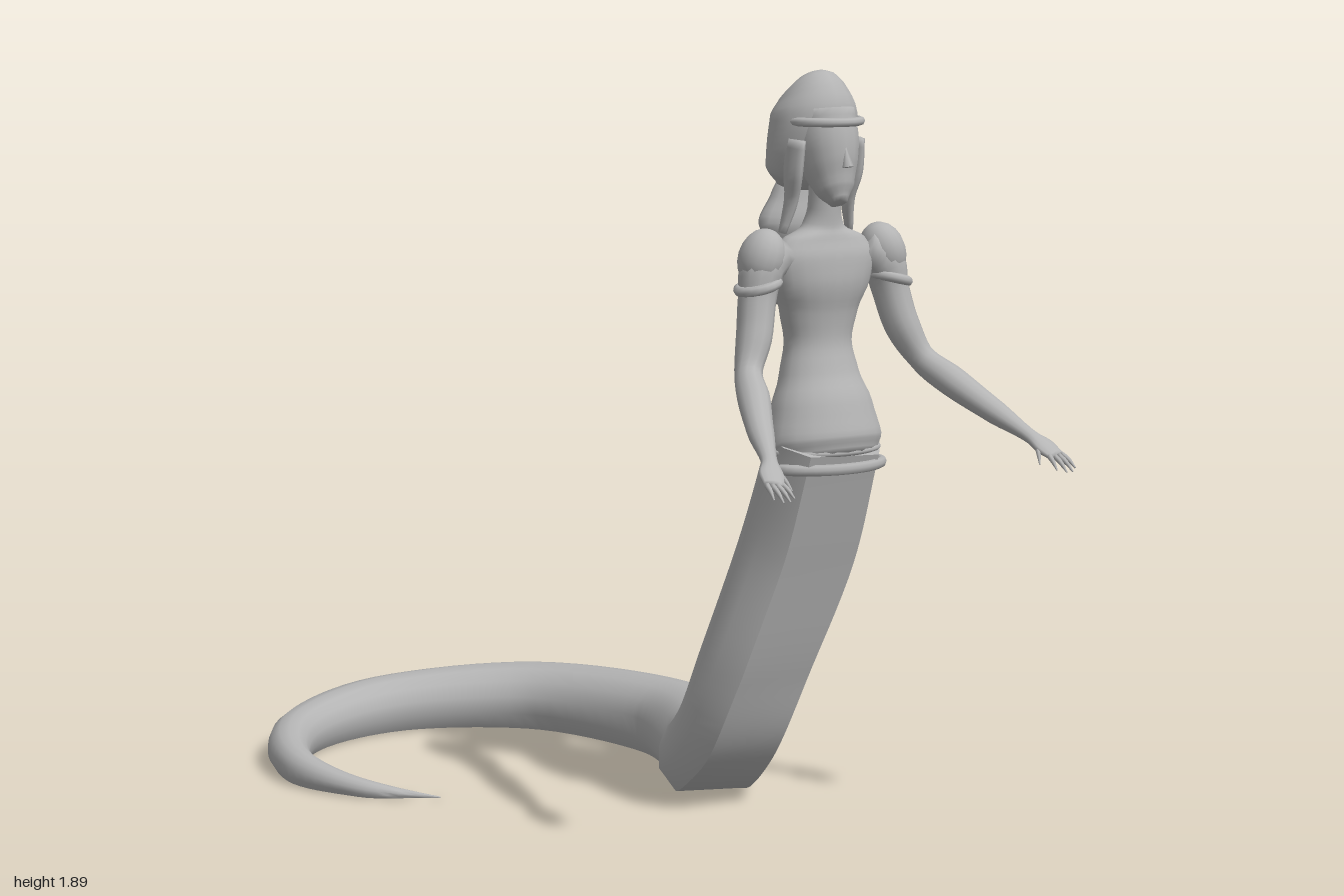
import * as THREE from 'three';
import { toCreasedNormals } from 'three/addons/utils/BufferGeometryUtils.js';

const CX = 0.258; // the upper body's own centre line

const oval = (n) => Array.from({ length: n }, (_, i) => {
  const a = (i / n) * Math.PI * 2;
  return [Math.cos(a), Math.sin(a)];
});

// Flat belly below, rounded back above
const tailProfile = [
  [-0.7, -1], [0, -1], [0.7, -1], [1, -0.45], [0.98, 0.1], [0.8, 0.58], [0.45, 0.9],
  [0, 1], [-0.45, 0.9], [-0.8, 0.58], [-0.98, 0.1], [-1, -0.45],
];

// Sweeps a profile along rows of [x, y, z, half width, half depth, yaw in degrees]
function loft(rows, profile, steps, crease = 0) {
  const path = new THREE.CatmullRomCurve3(rows.map((r) => new THREE.Vector3(r[0], r[1], r[2])));
  const size = new THREE.CatmullRomCurve3(rows.map((r) => new THREE.Vector3(r[3], r[4], r[5] || 0)), false, 'catmullrom', 0.3);
  const n = profile.length, pos = [], idx = [];
  for (let j = 0; j <= steps; j++) {
    const t = j / steps;
    const c = path.getPoint(t), T = path.getTangent(t), s = size.getPoint(t);
    const yaw = THREE.MathUtils.degToRad(s.z);
    const S = new THREE.Vector3(Math.cos(yaw), 0, Math.sin(yaw));
    S.addScaledVector(T, -S.dot(T)).normalize();
    const N = new THREE.Vector3().crossVectors(S, T);
    for (const [u, v] of profile) {
      const p = c.clone().addScaledVector(S, u * s.x).addScaledVector(N, v * s.y);
      pos.push(p.x, p.y, p.z);
    }
  }
  for (let j = 0; j < steps; j++) {
    for (let i = 0; i < n; i++) {
      const a = j * n + i, b = j * n + ((i + 1) % n);
      idx.push(a, a + n, b, b, a + n, b + n);
    }
  }
  const last = steps * n;
  for (let i = 1; i < n - 1; i++) idx.push(0, i, i + 1, last, last + i + 1, last + i);
  const g = new THREE.BufferGeometry();
  g.setAttribute('position', new THREE.Float32BufferAttribute(pos, 3));
  g.setIndex(idx);
  g.computeVertexNormals();
  return crease ? toCreasedNormals(g, crease) : g;
}

export function createModel() {
  const model = new THREE.Group();
  const clay = new THREE.MeshStandardMaterial({ color: 0xb4b4b4 });
  clay.name = 'clay grey';

  const add = (name, geometry, parent = model) => {
    const m = new THREE.Mesh(geometry, clay);
    m.name = name;
    parent.add(m);
    return m;
  };
  const ball = (name, parent, p, s, w = 16, h = 10) => {
    const m = add(name, new THREE.SphereGeometry(1, w, h), parent);
    m.position.set(...p);
    m.scale.set(...s);
    return m;
  };
  const ring = (name, parent, p, rx, rz, tube, squash = 1) => {
    const g = new THREE.TorusGeometry(1, tube / rx, 8, 32).rotateX(Math.PI / 2);
    const m = add(name, g, parent);
    m.position.set(...p);
    m.scale.set(rx, rx * squash, rz);
    return m;
  };

  // Serpent body: upright column bending into a curled tail
  add('serpentTail', loft([
    [0.255, 0.98, 0.548, 0.148, 0.105, 0],
    [0.24, 0.7, 0.455, 0.155, 0.112, 0],
    [0.175, 0.4, 0.365, 0.148, 0.108, 0],
    [0.155, 0.22, 0.285, 0.14, 0.108, 6],
    [0.18, 0.125, 0.17, 0.135, 0.108, 20],
    [0.26, 0.107, 0.03, 0.127, 0.104, 26],
    [0.35, 0.098, -0.3, 0.122, 0.095, 0],
    [0.185, 0.09, -0.75, 0.106, 0.087, -45],
    [-0.21, 0.077, -0.915, 0.085, 0.073, -90],
    [-0.53, 0.06, -0.79, 0.066, 0.058, -132],
    [-0.665, 0.044, -0.52, 0.046, 0.042, -180],
    [-0.6, 0.024, -0.29, 0.028, 0.022, -218],
    [-0.445, 0.006, -0.15, 0.002, 0.002, -240],
  ], tailProfile, 96, 0.75));

  const body = new THREE.Group();
  body.name = 'upperBody';
  body.position.x = CX;
  model.add(body);

  // Torso with hips, waist, chest, shoulders and neck
  add('torso', loft([
    [0, 0.935, 0.56, 0.142, 0.1],
    [0, 0.98, 0.55, 0.158, 0.117],
    [0, 1.06, 0.54, 0.138, 0.105],
    [0, 1.14, 0.528, 0.108, 0.082],
    [0, 1.22, 0.522, 0.092, 0.068],
    [0, 1.3, 0.525, 0.11, 0.07],
    [0, 1.37, 0.535, 0.138, 0.074],
    [0, 1.43, 0.54, 0.148, 0.066],
    [0, 1.475, 0.54, 0.12, 0.052],
    [0, 1.505, 0.54, 0.058, 0.044],
    [0, 1.55, 0.545, 0.042, 0.04],
    [0, 1.64, 0.55, 0.04, 0.04],
  ], oval(20), 44), body);
  ring('belt', body, [0, 0.917, 0.572], 0.15, 0.088, 0.014);
  ring('hipSash', body, [0, 0.955, 0.545], 0.148, 0.105, 0.012, 0.7);

  // Head
  const head = new THREE.Group();
  head.name = 'head';
  body.add(head);
  add('face', loft([
    [0, 1.565, 0.607, 0.022, 0.022],
    [0, 1.6, 0.588, 0.05, 0.05],
    [0, 1.66, 0.565, 0.07, 0.074],
    [0, 1.72, 0.555, 0.078, 0.078],
    [0, 1.79, 0.545, 0.072, 0.072],
  ], oval(16), 16), head);
  const nose = add('nose', new THREE.ConeGeometry(0.014, 0.055, 6), head);
  nose.position.set(0, 1.682, 0.638);
  nose.rotation.x = -0.2;
  add('hairCap', loft([
    [0, 1.605, 0.45, 0.075, 0.045],
    [0, 1.64, 0.463, 0.11, 0.07],
    [0, 1.71, 0.487, 0.115, 0.098],
    [0, 1.78, 0.497, 0.108, 0.108],
    [0, 1.83, 0.485, 0.078, 0.09],
    [0, 1.857, 0.465, 0.03, 0.04],
  ], oval(16), 20), head);
  ring('headband', head, [0, 1.763, 0.535], 0.09, 0.097, 0.011);

  // Gathered hair down the back
  add('upperHairBun', loft([
    [0, 1.64, 0.435, 0.04, 0.025],
    [0, 1.58, 0.425, 0.07, 0.04],
    [0, 1.51, 0.42, 0.105, 0.052],
    [0, 1.46, 0.415, 0.08, 0.04],
    [0, 1.435, 0.412, 0.03, 0.015],
  ], oval(14), 18), head);
  ball('lowerHairBun', head, [0, 1.347, 0.39], [0.075, 0.055, 0.03]);

  for (const side of [1, -1]) {
    // Locks framing the neck
    add('sideLock', loft([
      [side * 0.088, 1.72, 0.55, 0.016, 0.035],
      [side * 0.09, 1.64, 0.54, 0.018, 0.034],
      [side * 0.085, 1.57, 0.525, 0.015, 0.022],
      [side * 0.1, 1.49, 0.51, 0.01, 0.012],
    ], oval(8), 12), head);

    // Arm with puffed shoulder and cuff
    const arm = new THREE.Group();
    arm.name = side > 0 ? 'leftArm' : 'rightArm';
    body.add(arm);
    const X = (x) => side * x;
    const puff = ball('shoulderPuff', arm, [X(0.182), 1.435, 0.54], [0.056, 0.074, 0.062]);
    puff.rotation.z = side * 0.35;
    add('armSkin', loft([
      [X(0.12), 1.45, 0.54, 0.045, 0.045],
      [X(0.18), 1.41, 0.543, 0.055, 0.055],
      [X(0.2), 1.34, 0.55, 0.047, 0.048],
      [X(0.222), 1.25, 0.57, 0.044, 0.046],
      [X(0.262), 1.165, 0.605, 0.034, 0.036],
      [X(0.297), 1.115, 0.68, 0.04, 0.038],
      [X(0.345), 1.052, 0.78, 0.033, 0.03],
      [X(0.385), 0.998, 0.875, 0.02, 0.017],
      [X(0.405), 0.972, 0.915, 0.032, 0.014],
      [X(0.418), 0.952, 0.945, 0.026, 0.009],
    ], oval(12), 44), arm);
    const cuff = add('sleeveCuff', new THREE.TorusGeometry(0.049, 0.013, 8, 18), arm);
    cuff.position.set(X(0.196), 1.368, 0.547);
    cuff.rotation.set(Math.PI / 2, side * -0.25, 0);

    // Fingers and thumb, each from knuckle to tip
    const fingers = [
      [0.397, 0.955, 0.94, 0.388, 0.925, 0.985], [0.411, 0.953, 0.945, 0.408, 0.92, 0.998],
      [0.424, 0.953, 0.945, 0.427, 0.92, 0.998], [0.436, 0.955, 0.94, 0.445, 0.926, 0.985],
      [0.385, 0.975, 0.91, 0.367, 0.935, 0.945],
    ];
    for (const [x0, y0, z0, x1, y1, z1] of fingers) {
      add('finger', loft([
        [X(x0), y0, z0, 0.007, 0.007],
        [X((x0 + x1) / 2), (y0 + y1) / 2 + 0.004, (z0 + z1) / 2, 0.006, 0.006],
        [X(x1), y1, z1, 0.002, 0.002],
      ], oval(6), 5), arm);
    }
  }
  return model;
}
